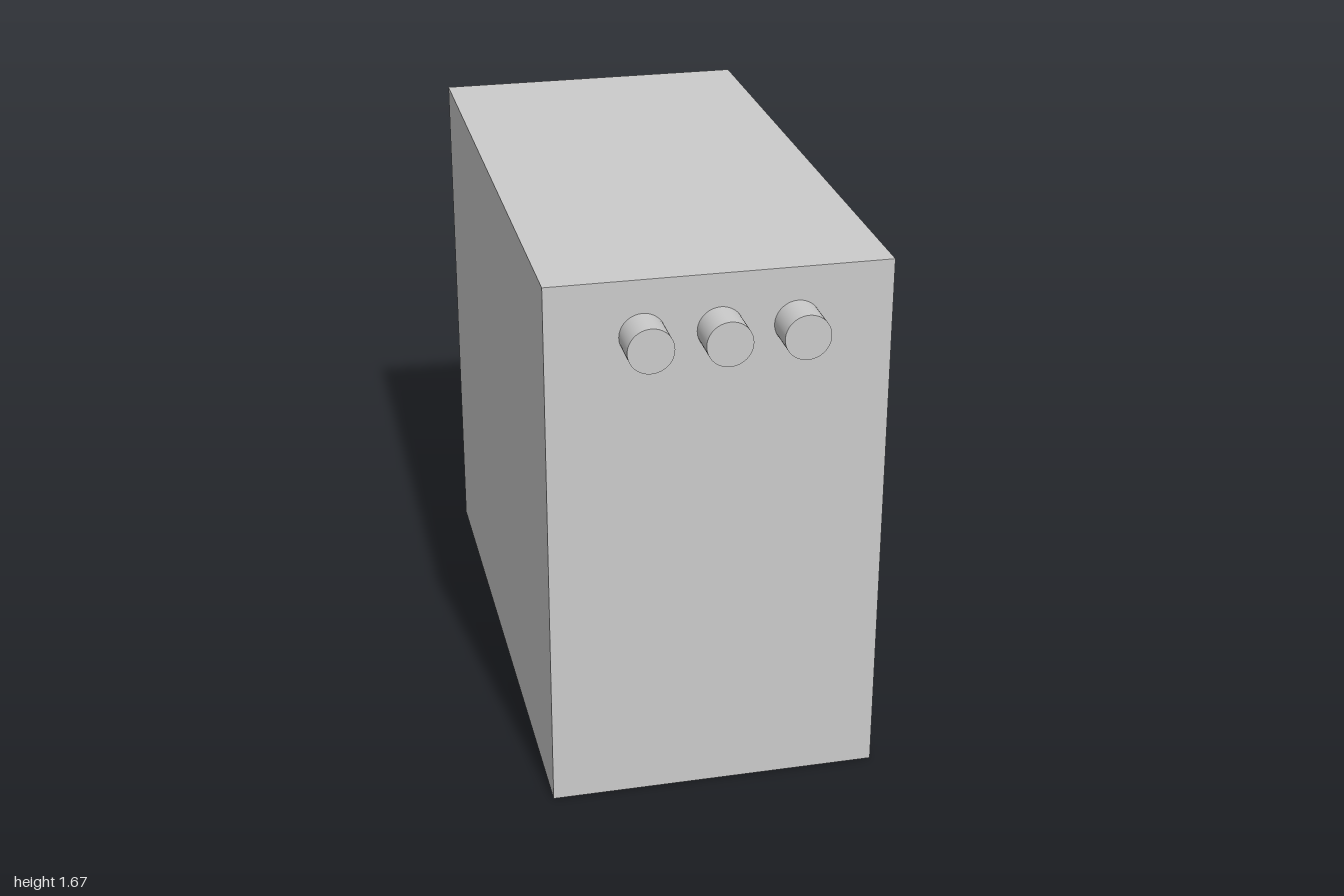
import * as THREE from 'three';

const WIDTH = 1, HEIGHT = 1.667, BACK = -1, FRONT = 0.889;
const KNOB_RADIUS = 0.067, KNOB_Y = 1.5, KNOB_SPACING = 0.222, KNOB_TIP = 1;

export function createModel() {
  const model = new THREE.Group();
  model.name = 'cabinetWithKnobs';
  const material = new THREE.MeshStandardMaterial({ color: 0xcccccc });

  // Plain box body
  const depth = FRONT - BACK;
  const body = new THREE.Mesh(new THREE.BoxGeometry(WIDTH, HEIGHT, depth), material);
  body.name = 'body';
  body.position.set(0, HEIGHT / 2, (FRONT + BACK) / 2);
  model.add(body);

  // Row of three round knobs near the top of the front
  const knobLength = KNOB_TIP - FRONT;
  const knobGeometry = new THREE.CylinderGeometry(KNOB_RADIUS, KNOB_RADIUS, knobLength, 48);
  knobGeometry.rotateX(Math.PI / 2);
  ['rightKnob', 'middleKnob', 'leftKnob'].forEach((name, i) => {
    const knob = new THREE.Mesh(knobGeometry, material);
    knob.name = name;
    knob.position.set((i - 1) * KNOB_SPACING, KNOB_Y, FRONT + knobLength / 2);
    model.add(knob);
  });

  return model;
}
